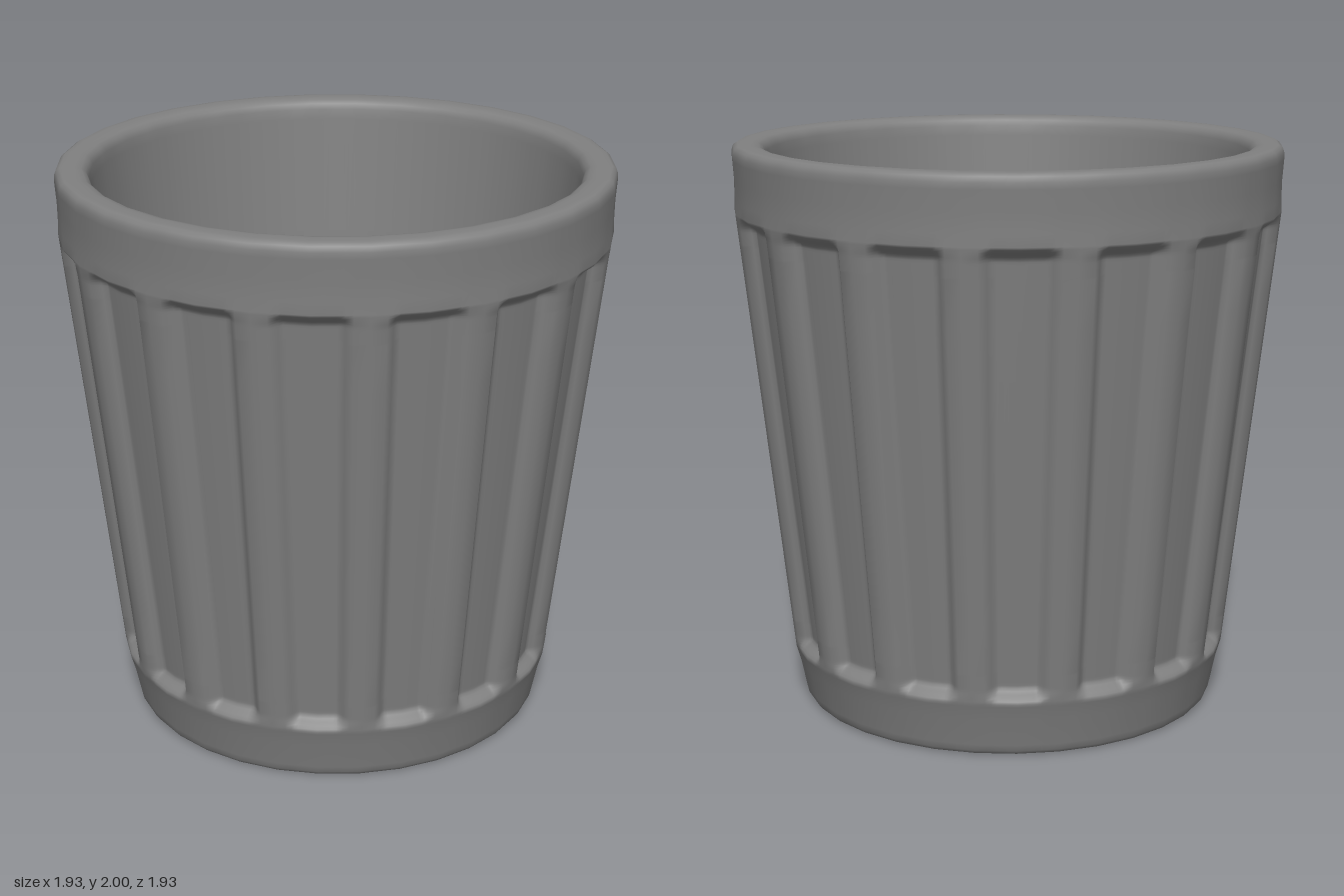
import * as THREE from 'three';

const FLUTES = 16;
const STEP = (Math.PI * 2) / FLUTES;
const FLUTE_DEPTH = 0.045;
const FLUTE_LOW = 0.2, FLUTE_HIGH = 1.77;

// Column angles: ribs sit at multiples of STEP, columns crowd at flute edges
const half = [0, 0.14, 0.21, 0.25, 0.285, 0.32, 0.355, 0.39, 0.44];
const fractions = [...half, 0.5, ...half.slice(1).reverse().map((f) => 1 - f)];
const angles = [];
for (let k = 0; k < FLUTES; k++) for (const f of fractions) angles.push((k + f) * STEP);

// Rounded-rectangle recess pressed into the wall between two ribs
function fluteDepth(angle, y, r) {
  const offset = Math.abs((angle % STEP) - STEP / 2) * r;
  const halfWidth = STEP * 0.375 * r;
  const halfHeight = (FLUTE_HIGH - FLUTE_LOW) / 2;
  const corner = 0.05;
  const dx = offset - halfWidth + corner;
  const dy = Math.abs(y - (FLUTE_LOW + FLUTE_HIGH) / 2) - halfHeight + corner;
  const d = Math.hypot(Math.max(dx, 0), Math.max(dy, 0)) + Math.min(Math.max(dx, dy), 0) - corner;
  return FLUTE_DEPTH * THREE.MathUtils.smoothstep(-d, 0, 0.05);
}

// Revolve a profile of [radius, y], optionally pressing the flutes into it
function revolve(profile, fluted) {
  const n = angles.length, positions = [], index = [];
  for (const [r, y] of profile) {
    for (const a of angles) {
      const rr = r - (fluted && y > FLUTE_LOW && y < FLUTE_HIGH ? fluteDepth(a, y, r) : 0);
      positions.push(rr * Math.sin(a), y, rr * Math.cos(a));
    }
  }
  for (let i = 0; i < profile.length - 1; i++) {
    for (let j = 0; j < n; j++) {
      const k = (j + 1) % n;
      const a = i * n + j, b = i * n + k, c = a + n, d = b + n;
      index.push(a, b, d, a, d, c);
    }
  }
  const geometry = new THREE.BufferGeometry();
  geometry.setAttribute('position', new THREE.Float32BufferAttribute(positions, 3));
  geometry.setIndex(index);
  geometry.computeVertexNormals();
  // Straighten the round outline into 32 chords, keeping the smooth normals
  const p = geometry.attributes.position, side = STEP / 2;
  for (let i = 0; i < p.count; i++) {
    const s = Math.cos(side / 2) / Math.cos((angles[i % n] % side) - side / 2);
    p.setX(i, p.getX(i) * s);
    p.setZ(i, p.getZ(i) * s);
  }
  return geometry;
}

export function createModel() {
  const group = new THREE.Group();
  group.name = 'flutedCup';
  const grey = new THREE.MeshStandardMaterial({ color: 0x808080 });
  grey.name = 'grey';

  // Outside: flat underside, tapered foot, fluted wall, collar and rim
  const outside = [[0, 0], [0.68, 0], [0.715, 0], [0.732, 0.005], [0.742, 0.018], [0.747, 0.04], [0.768, 0.14], [0.782, 0.19]];
  const wall = (y) => [0.785 + ((y - 0.2) / 1.56) * 0.173, y];
  for (let i = 0; i <= 12; i++) outside.push(wall(FLUTE_LOW + i * 0.009));
  for (let i = 1; i < 8; i++) outside.push(wall(0.308 + (i / 8) * 1.354));
  for (let i = 12; i >= 0; i--) outside.push(wall(FLUTE_HIGH - i * 0.009));
  outside.push([0.957, 1.81], [0.958, 1.88], [0.963, 1.95], [0.963, 1.972], [0.957, 1.99], [0.943, 1.999], [0.925, 2], [0.91, 2]);

  // Inside: rounded lip, tapered wall and flat floor
  const inside = [[0.91, 2], [0.89, 2], [0.87, 1.996], [0.855, 1.985], [0.846, 1.965], [0.843, 1.93],
    [0.8, 1.5], [0.74, 0.9], [0.69, 0.4], [0.675, 0.25], [0.667, 0.21], [0.65, 0.19], [0.62, 0.18], [0.58, 0.18], [0, 0.18]];

  const outer = new THREE.Mesh(revolve(outside, true), grey);
  outer.name = 'flutedOuterWall';
  const inner = new THREE.Mesh(revolve(inside, false), grey);
  inner.name = 'innerBowl';
  group.add(outer, inner);
  return group;
}
